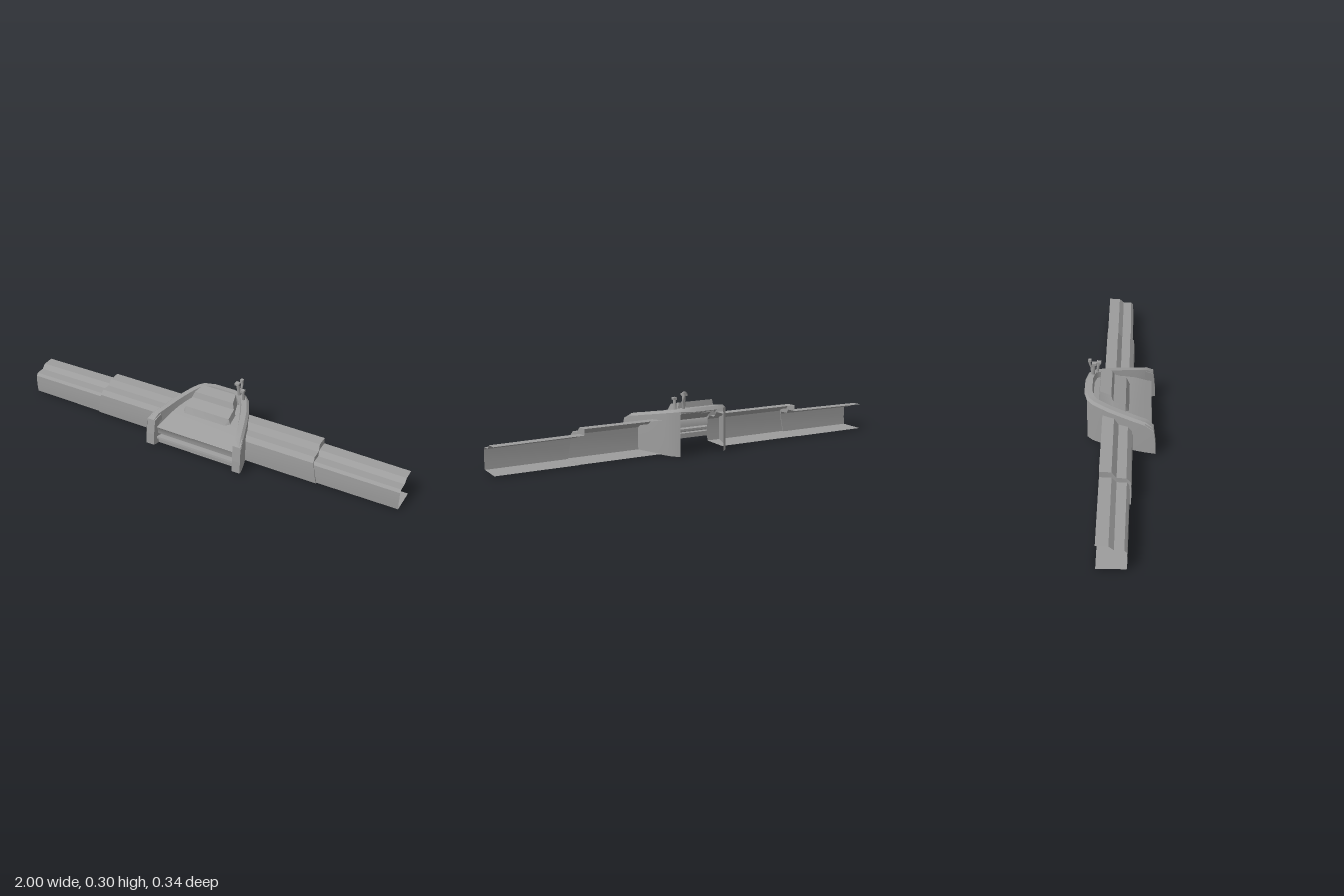
import * as THREE from 'three';
import { toCreasedNormals } from 'three/addons/utils/BufferGeometryUtils.js';

const mat = new THREE.MeshStandardMaterial({ color: 0x9c9c9c, side: THREE.DoubleSide });
const CX = 0.01; // hull centre line

function mesh(name, geometry) {
  const m = new THREE.Mesh(geometry, mat);
  m.name = name;
  return m;
}

// Skin a grid of rows of [x, y, z] points; flip turns the faces round
function loft(rows, flip = false) {
  const grid = flip ? [...rows].reverse() : rows;
  const n = grid[0].length, index = [];
  for (let i = 0; i < grid.length - 1; i++)
    for (let j = 0; j < n - 1; j++) {
      const a = i * n + j, b = a + n;
      index.push(a, b, a + 1, b, b + 1, a + 1);
    }
  const g = new THREE.BufferGeometry();
  g.setAttribute('position', new THREE.Float32BufferAttribute(grid.flat(2), 3));
  g.setIndex(index);
  return toCreasedNormals(g, 0.65);
}

// Hull half-outline: [half width, z, rim height]
const stations = [
  [0.255, 0.16, 0.147], [0.243, 0.12, 0.172], [0.224, 0.06, 0.183], [0.204, 0, 0.195],
  [0.185, -0.05, 0.204], [0.166, -0.09, 0.212], [0.143, -0.13, 0.219],
  [0.115, -0.155, 0.224], [0.055, -0.17, 0.226],
];

const deckY = z => (z > 0.05 ? 0.155 - (z - 0.05) * 0.5 : 0.155 + (0.05 - z) * 0.24);

// Beam: open-backed channel, larger next to the hull, smaller outboard
function beam(side) {
  const big = [[-0.08, 0.006], [0.06, 0.006], [0.063, 0.06], [0.06, 0.115], [0.04, 0.136],
    [-0.003, 0.138], [-0.025, 0.165], [-0.08, 0.167]];
  const small = [[-0.08, 0.005], [0.052, 0.005], [0.055, 0.05], [0.053, 0.1], [0.042, 0.113],
    [-0.003, 0.114], [-0.025, 0.135], [-0.08, 0.137]];
  const stepX = y => 0.605 - 0.17 * y;
  return loft([
    big.map(([z, y]) => [CX + side * 0.158, y, z]),
    big.map(([z, y]) => [side * stepX(y), y, z]),
    small.map(([z, y], i) => [side * stepX(big[i][1]), y, z]),
    small.map(([z, y]) => [side, y * 0.97, z > 0 ? z - 0.003 : z]),
  ], side > 0);
}

// Side wall below the rim, facing outward
function sideWall(side) {
  return loft(stations.slice(0, 8).map(([w, z, y], i) => {
    const bulge = i === 0 ? 0.012 : 0;
    const foot = 0.028 * (z + 0.155);
    return [[CX + side * w, y - 0.011, z], [CX + side * (w + 0.003), y * 0.5, z + bulge * 0.7],
      [CX + side * (w + 0.003), foot, z + bulge]];
  }), side > 0);
}

// Rim running up one side, round the back and down the other, plus the sunken deck
function rimAndDeck() {
  const path = [...stations, ...stations.map(([w, z, y]) => [-w, z, y]).reverse()];
  const last = path.length - 1;
  const rows = path.map(([x, z, y], i) => {
    const end = i === 0 || i === last;
    const a = path[Math.max(i - 1, 0)], b = path[Math.min(i + 1, last)];
    const t = new THREE.Vector2(end ? 0 : b[0] - a[0], b[1] - a[1]).normalize();
    const at = (d, h) => [CX + x + t.y * d, h, z - t.x * d];
    const skirt = Math.abs(x) < 0.1 ? 0.016 : 0.011;
    const inner = at(0.044, 0);
    if (end) inner[2] = 0.152;
    inner[1] = deckY(inner[2]);
    return [at(0, y - skirt), at(0.012, y), at(0.038, y), inner];
  });
  const deck = rows.slice(0, rows.length / 2).map((r, i) => [r[3], rows[last - i][3]]);
  return [loft(rows, true), loft(deck, true)];
}

// Front leg closing the end of a side wall, leaning with the wall
function frontLeg(side) {
  const profile = [[0.172, 0.01], [0.169, 0.07], [0.16, 0.146], [0.12, 0.168], [0.115, 0.1], [0.125, 0.01]];
  const shape = new THREE.Shape(profile.map(([z, y]) => new THREE.Vector2(-z, y)));
  const g = new THREE.ExtrudeGeometry(shape, { depth: 0.042, bevelEnabled: false });
  g.translate(0, 0, -0.021).rotateY(Math.PI / 2);
  const p = g.attributes.position;
  for (let i = 0; i < p.count; i++)
    p.setX(i, CX + side * (0.233 + (p.getZ(i) - 0.165) * 0.3) + p.getX(i));
  g.computeVertexNormals();
  return g;
}

// Console: raised hood with a lower sloping panel, sides tapering upward
function consoleBlock() {
  const profile = [[-0.1, 0.19, 0.1], [-0.094, 0.246, 0.09], [-0.04, 0.233, 0.104], [-0.03, 0.205, 0.115],
    [0.028, 0.185, 0.118], [0.044, 0.154, 0.105]];
  return loft(profile.map(([z, y, w]) => {
    const base = Math.min(deckY(z), y) - 0.004;
    return [[CX - w - 0.01, base, z], [CX - w, y, z], [CX + w, y, z], [CX + w + 0.01, base, z]];
  }));
}

// Rod along a bent path with a small grip at its end
function lever(name, points, r) {
  const curve = new THREE.CatmullRomCurve3(points.map(p => new THREE.Vector3(...p)));
  const group = new THREE.Group();
  group.name = name;
  const grip = mesh('leverGrip', new THREE.BoxGeometry(r * 2.4, 0.011, r * 2.6));
  grip.position.copy(curve.getPoint(1));
  grip.position.y -= 0.005;
  group.add(mesh('leverRod', new THREE.TubeGeometry(curve, 6, r, 6)), grip);
  return group;
}

export function createModel() {
  const model = new THREE.Group();
  model.name = 'controlStation';

  for (const [side, label] of [[1, 'left'], [-1, 'right']]) {
    model.add(mesh(label + 'Beam', beam(side)));
    model.add(mesh(label + 'SideWall', sideWall(side)));
    model.add(mesh(label + 'FrontLeg', frontLeg(side)));
  }

  const [rim, deck] = rimAndDeck();
  model.add(mesh('rim', rim), mesh('deck', deck), mesh('console', consoleBlock()));

  // Front panel with a recessed slot and a bumper bar
  const front = [[0.152, 0.104], [0.147, 0.098], [0.143, 0.066], [0.122, 0.062], [0.122, 0.052],
    [0.152, 0.05], [0.154, 0.04], [0.142, 0.036], [0.142, 0.012]];
  model.add(mesh('frontPanel', loft([1, -1].map(s => front.map(([z, y]) => [CX + s * 0.212, y, z])), true)));

  // Levers at the rear left corner
  model.add(lever('frontLever', [[0.132, 0.212, -0.116], [0.132, 0.275, -0.106]], 0.008));
  model.add(lever('middleLever', [[0.1, 0.212, -0.135], [0.092, 0.293, -0.127]], 0.009));
  model.add(lever('rearLever', [[0.1, 0.213, -0.139], [0.106, 0.262, -0.142], [0.105, 0.28, -0.15], [0.104, 0.304, -0.149]], 0.006));
  return model;
}
